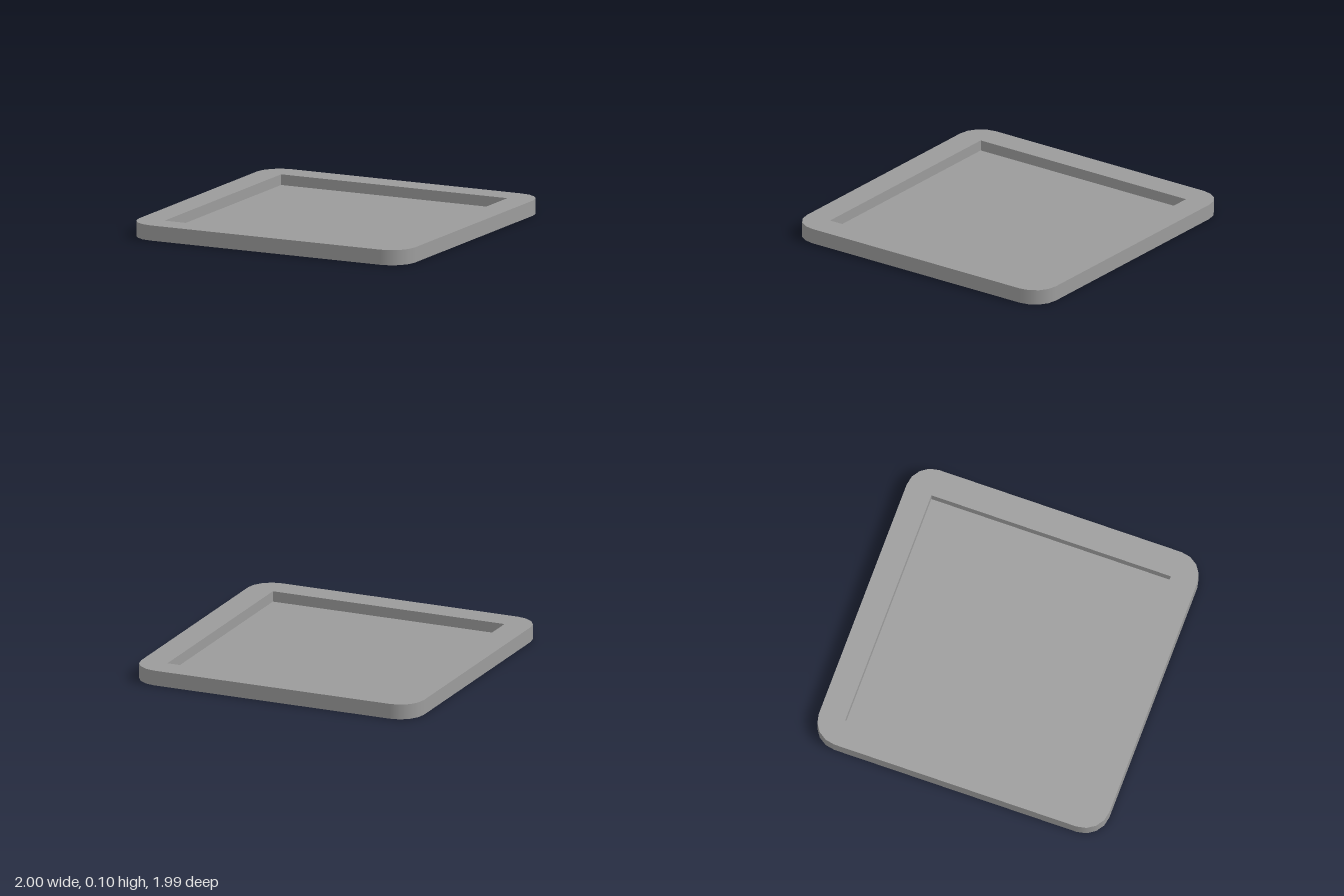
import * as THREE from 'three';

const HX = 1, HZ = 0.995, HEIGHT = 0.1;     // outer half sizes and height
const RADIUS = 0.165, STEPS = 4;            // rounded corners
const INNER = 0.82, FLOOR = 0.03;           // recess half size and floor level

// Rounded-rectangle outline: point plus outward direction at each step
function outline() {
  const list = [];
  const corners = [[1, 1], [-1, 1], [-1, -1], [1, -1]];
  corners.forEach(([sx, sz], c) => {
    for (let i = 0; i <= STEPS; i++) {
      const a = (c + i / STEPS) * Math.PI / 2;
      const nx = Math.cos(a), nz = Math.sin(a);
      list.push({ x: sx * (HX - RADIUS) + RADIUS * nx, z: sz * (HZ - RADIUS) + RADIUS * nz, nx, nz });
    }
  });
  return list;
}

// Upright band following the outline, smooth round the corners
function bandGeometry(points) {
  const pos = [], nor = [], idx = [];
  points.forEach((p, i) => {
    pos.push(p.x, 0, p.z, p.x, HEIGHT, p.z);
    nor.push(p.nx, 0, p.nz, p.nx, 0, p.nz);
    const b = 2 * i, n = 2 * ((i + 1) % points.length);
    idx.push(b, b + 1, n, b + 1, n + 1, n);
  });
  const g = new THREE.BufferGeometry();
  g.setAttribute('position', new THREE.Float32BufferAttribute(pos, 3));
  g.setAttribute('normal', new THREE.Float32BufferAttribute(nor, 3));
  g.setIndex(idx);
  return g;
}

export function createModel() {
  const group = new THREE.Group();
  group.name = 'tray';
  const material = new THREE.MeshStandardMaterial({ color: 0x9b9b9b, side: THREE.DoubleSide });
  const add = (geometry, name) => {
    const mesh = new THREE.Mesh(geometry, material);
    mesh.name = name;
    group.add(mesh);
  };
  const points = outline();

  // Outer skirt, open underneath
  add(bandGeometry(points), 'outerWall');

  // Flat top rim with a square opening
  const rim = new THREE.Shape(points.map(p => new THREE.Vector2(p.x, p.z)));
  rim.holes.push(new THREE.Path([[-1, -1], [-1, 1], [1, 1], [1, -1]]
    .map(([x, z]) => new THREE.Vector2(x * INNER, z * INNER))));
  add(new THREE.ShapeGeometry(rim).rotateX(-Math.PI / 2).translate(0, HEIGHT, 0), 'topRim');

  // Four walls of the recess, facing inwards
  for (let i = 0; i < 4; i++) {
    const wall = new THREE.PlaneGeometry(2 * INNER, HEIGHT - FLOOR);
    wall.translate(0, (HEIGHT + FLOOR) / 2, -INNER).rotateY(i * Math.PI / 2);
    add(wall, 'recessWall' + (i + 1));
  }

  // Sunken floor
  add(new THREE.PlaneGeometry(2 * INNER, 2 * INNER).rotateX(-Math.PI / 2).translate(0, FLOOR, 0), 'recessFloor');

  return group;
}
